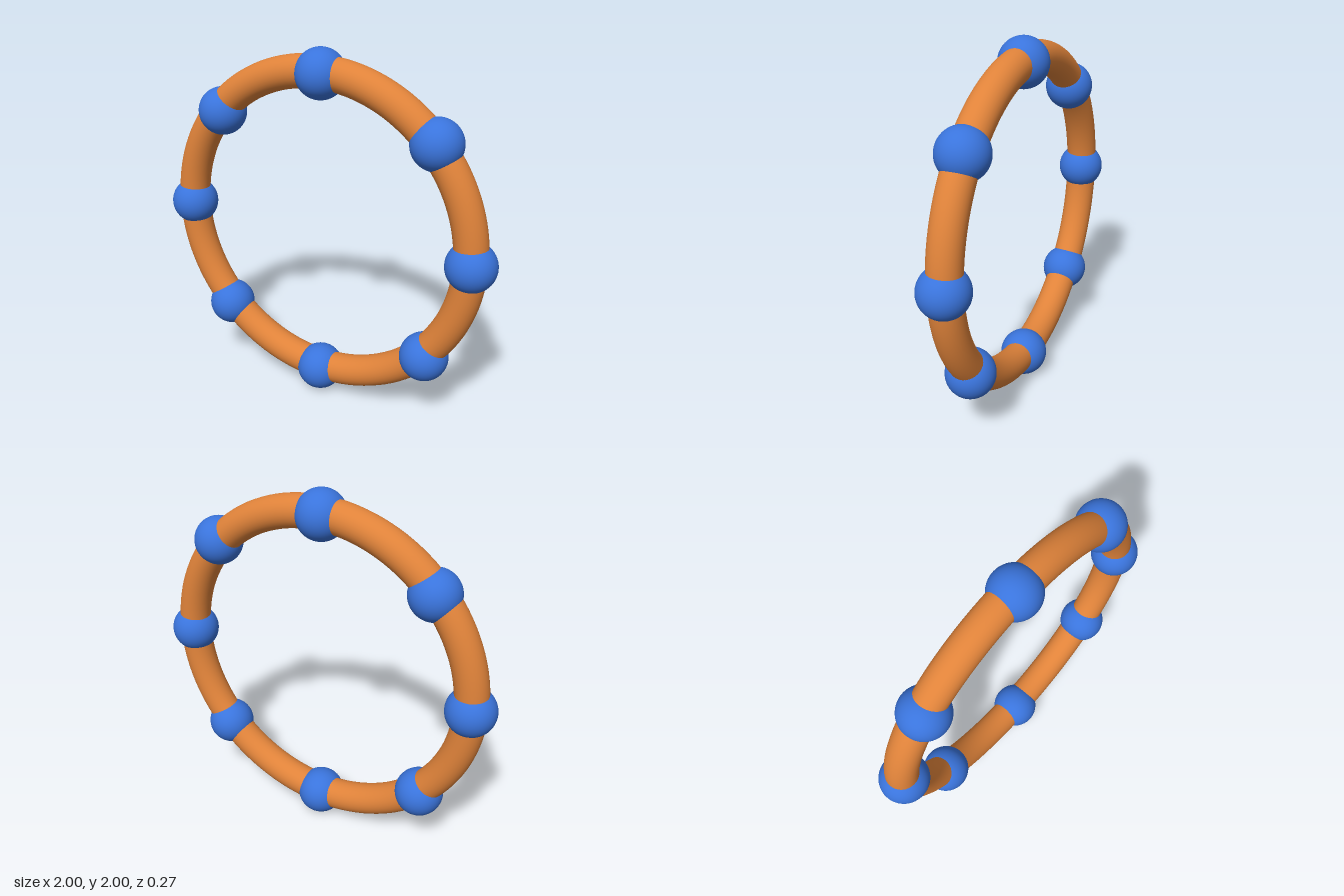
import * as THREE from 'three';

export function createModel() {
  const group = new THREE.Group();
  const orange = new THREE.MeshStandardMaterial({ color: 0xe0833a });
  const blue = new THREE.MeshStandardMaterial({ color: 0x3a74dc });

  // Round tube bent into an upright hoop
  const ring = new THREE.Mesh(new THREE.TorusGeometry(0.864, 0.088, 32, 128), orange);
  ring.name = 'ring';
  ring.position.set(-0.003, 1.01, -0.003);
  group.add(ring);

  // Eight beads threaded on the hoop, the diagonal ones slightly uneven
  const centres = [
    [0.865, 1.007], [0.645, 1.601], [0, 1.866], [-0.626, 1.588],
    [-0.866, 1.008], [-0.626, 0.391], [0, 0.134], [0.645, 0.413],
  ];
  const beadGeometry = new THREE.SphereGeometry(0.133, 48, 32);
  const beads = new THREE.Group();
  beads.name = 'beads';
  centres.forEach(([x, y], i) => {
    const bead = new THREE.Mesh(beadGeometry, blue);
    bead.name = `bead${i + 1}`;
    bead.position.set(x, y, 0);
    beads.add(bead);
  });
  group.add(beads);

  return group;
}
